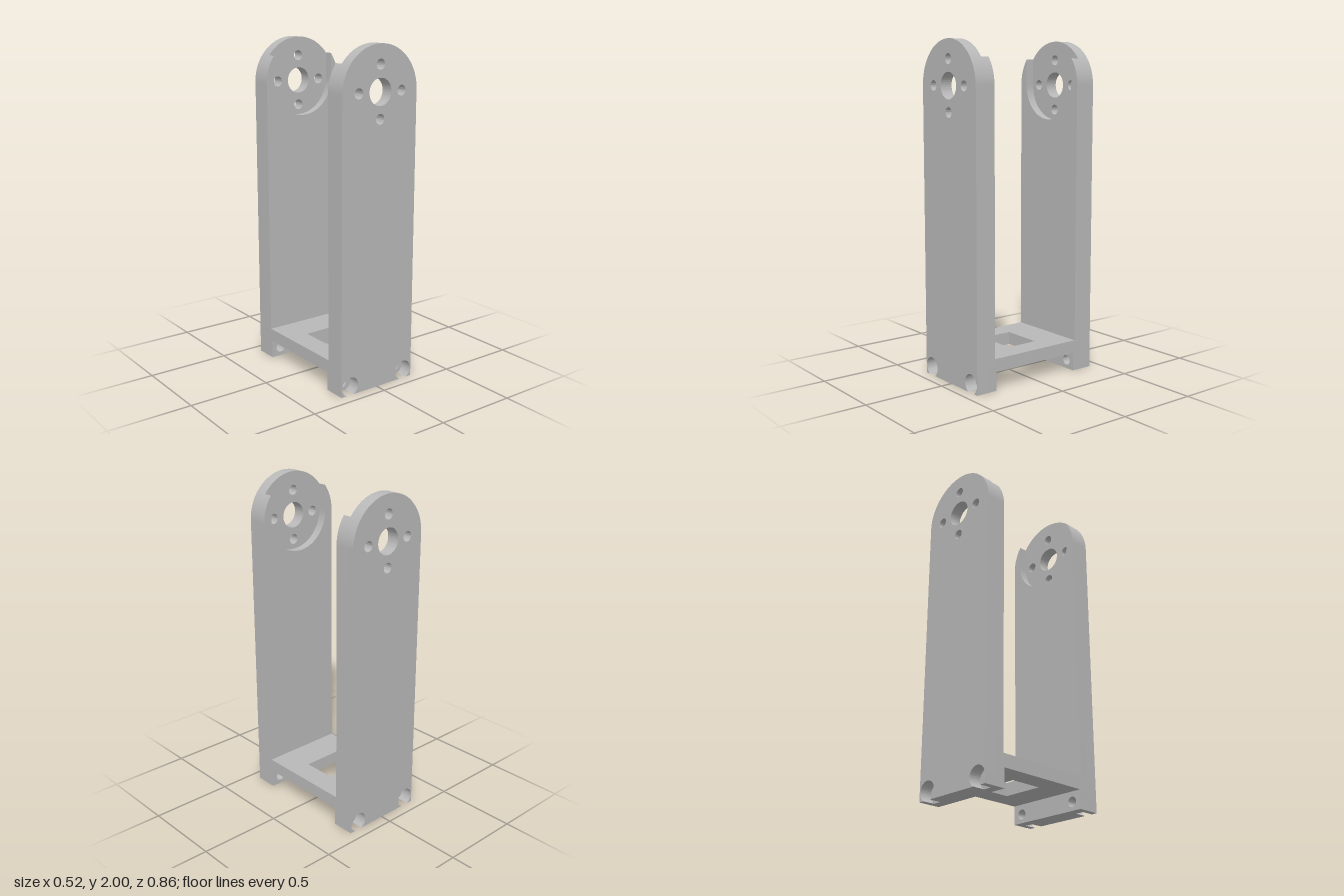
import * as THREE from 'three';
import { toCreasedNormals } from 'three/addons/utils/BufferGeometryUtils.js';

const W = 0.262, CY = 1.738;              // half width, height of the pivot centre
const Z_FOOT = 0.295, Z_IN = 0.305, Z_MID = 0.357, Z_OUT = 0.432;
const FOOT_H = 0.112, FLOOR_TOP = 0.19;
const BOLT_X = 0.2, BOLT_Y = 0.052, BOLT_R = 0.03, BORE_R = 0.058;
const POCKET_R = 0.209;

function addHole(shape, x, y, r) {
  const hole = new THREE.Path();
  hole.absarc(x, y, r, 0, Math.PI * 2, true);
  shape.holes.push(hole);
}

function slab(shape, z0, z1) {
  const geo = new THREE.ExtrudeGeometry(shape, { depth: z1 - z0, bevelEnabled: false, curveSegments: 40 });
  geo.translate(0, 0, z0);
  return toCreasedNormals(geo, 0.6);
}

// Outer layer: round top, pivot holes, bolt counterbores open at the bottom edge
function outerShape() {
  const s = new THREE.Shape();
  const half = Math.sqrt(BORE_R ** 2 - BOLT_Y ** 2);
  s.moveTo(-W, 0);
  for (const x of [-BOLT_X, BOLT_X]) {
    s.lineTo(x - half, 0);
    s.absarc(x, BOLT_Y, BORE_R, Math.atan2(-BOLT_Y, -half), Math.atan2(-BOLT_Y, half), true);
  }
  s.lineTo(W, 0);
  s.lineTo(W, CY);
  s.absarc(0, CY, W, 0, Math.PI, false);
  s.lineTo(-W, 0);
  addHole(s, 0, CY, 0.077);
  for (const [x, y] of [[1, 0], [-1, 0], [0, 1], [0, -1]]) addHole(s, x * 0.15, CY + y * 0.15, BOLT_R);
  return s;
}

// Inner layer: U-shaped pocket open at the top, small bolt holes
function innerShape() {
  const s = new THREE.Shape();
  const a = Math.acos(POCKET_R / W);
  s.moveTo(-W, 0);
  s.lineTo(W, 0);
  s.lineTo(W, CY);
  s.absarc(0, CY, W, 0, a, false);
  s.lineTo(POCKET_R, CY);
  s.absarc(0, CY, POCKET_R, 0, -Math.PI, true);
  s.lineTo(-POCKET_R, CY + W * Math.sin(a));
  s.absarc(0, CY, W, Math.PI - a, Math.PI, false);
  s.lineTo(-W, 0);
  for (const x of [-BOLT_X, BOLT_X]) addHole(s, x, BOLT_Y, BOLT_R);
  return s;
}

function rectangle(x, y0, y1) {
  return new THREE.Shape([[-x, y0], [x, y0], [x, y1], [-x, y1]].map(p => new THREE.Vector2(...p)));
}

export function createModel() {
  const grey = new THREE.MeshStandardMaterial({ color: 0xb8b8b8 });
  grey.name = 'grey';
  const model = new THREE.Group();
  model.name = 'bracket';

  const foot = rectangle(W, 0, FOOT_H);
  for (const x of [-BOLT_X, BOLT_X]) addHole(foot, x, BOLT_Y, BOLT_R);
  const layers = {
    outerPlate: slab(outerShape(), Z_MID, Z_OUT),
    innerPlate: slab(innerShape(), Z_IN, Z_MID),
    footPad: slab(foot, Z_FOOT, Z_IN),
  };

  // Two matching arms, front and back
  for (const [name, turn] of [['frontArm', 0], ['backArm', Math.PI]]) {
    const arm = new THREE.Group();
    arm.name = name;
    for (const [part, geo] of Object.entries(layers)) {
      const mesh = new THREE.Mesh(geo, grey);
      mesh.name = part;
      arm.add(mesh);
    }
    arm.rotation.y = turn;
    model.add(arm);
  }

  // Floor joining the arms, with a rectangular window
  const floorShape = rectangle(W, -Z_IN, Z_IN);
  floorShape.holes.push(rectangle(0.127, -0.101, 0.101));
  const floorGeo = slab(floorShape, FOOT_H, FLOOR_TOP);
  floorGeo.rotateX(-Math.PI / 2);
  const floor = new THREE.Mesh(floorGeo, grey);
  floor.name = 'floor';
  model.add(floor);
  return model;
}
